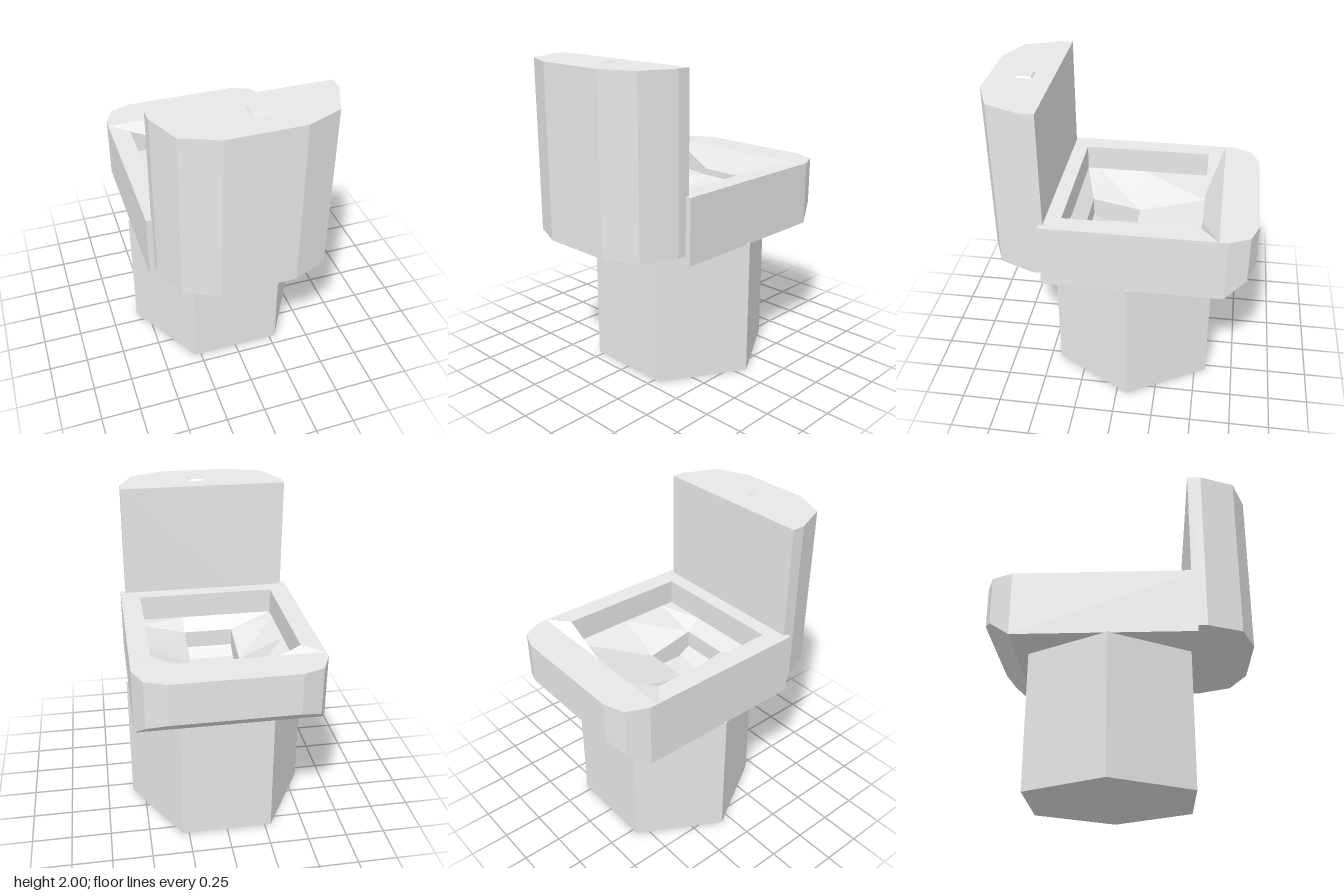
import * as THREE from 'three';

// Flat-faced geometry from polygons; each is wound to face its hint direction
function faceted(polys) {
  const out = [];
  for (const [dir, ...pts] of polys) {
    const p = pts.map((a) => new THREE.Vector3(...a));
    const normal = new THREE.Vector3();
    p.forEach((a, i) => normal.add(a.clone().cross(p[(i + 1) % p.length])));
    if (normal.dot(new THREE.Vector3(...dir)) < 0) p.reverse();
    for (let i = 1; i < p.length - 1; i++) {
      for (const v of [p[0], p[i], p[i + 1]]) out.push(v.x, v.y, v.z);
    }
  }
  const g = new THREE.BufferGeometry();
  g.setAttribute('position', new THREE.Float32BufferAttribute(out, 3));
  g.computeVertexNormals();
  return g;
}

function prism(rTop, rBottom, h, sides, turn) {
  const g = new THREE.CylinderGeometry(rTop, rBottom, h, sides).rotateY(turn).toNonIndexed();
  g.computeVertexNormals();
  return g;
}

const TOP = 1.275, BASE = 0.865;
const UP = [0, 1, 0], DOWN = [0, -1, 0], FRONT = [0, 0, 1], BACK = [0, 0, -1];

// Outer shell: chamfered outline with the underside of the nose cut by a slope
function shellFaces() {
  const half = [[0.57, 0.46], [0.57, -0.65], [0.51, -0.78], [0.38, -0.83]];
  const loop = [...half, ...half.map(([x, z]) => [-x, z]).reverse()];
  const low = ([x, z]) => [x, BASE + Math.max(0, -0.65 - z) * 0.806, z];
  const high = ([x, z]) => [x, TOP, z];
  const polys = loop.map((a, i) => {
    const b = loop[(i + 1) % loop.length];
    return [[a[0] + b[0], 0, a[1] + b[1] + 0.37], low(a), low(b), high(b), high(a)];
  });
  polys.push([DOWN, ...[loop[0], loop[1], loop[6], loop[7]].map(low)]);
  polys.push([DOWN, ...loop.slice(1, 7).map(low)]);
  // Rim
  polys.push([UP, [0.57, TOP, -0.6], ...loop.slice(1, 7).map(high), [-0.57, TOP, -0.6]]);
  polys.push([UP, [0.57, TOP, 0.46], [0.445, TOP, 0.34], [-0.445, TOP, 0.34], [-0.57, TOP, 0.46]]);
  for (const s of [1, -1]) {
    polys.push([UP, [s * 0.57, TOP, 0.46], [s * 0.57, TOP, -0.6],
      [s * 0.445, TOP, -0.49], [s * 0.445, TOP, 0.34]]);
  }
  return polys;
}

// Basin: spout lip, inner walls, sloping floor and the well
function basinFaces() {
  const E = 1.11, LIP = 1.135, F = 1.09, N = 0.975, R = 1.035, W = 0.87, S = 0.92;
  const polys = [
    [UP, [0.2, TOP, -0.6], [-0.2, TOP, -0.6], [-0.16, LIP, -0.49], [0.16, LIP, -0.49]],
    [FRONT, [0.16, LIP, -0.49], [-0.16, LIP, -0.49], [-0.16, F, -0.49], [0.16, F, -0.49]],
    [BACK, [0.445, TOP, 0.34], [-0.445, TOP, 0.34], [-0.445, E, 0.34], [0.445, E, 0.34]],
    [UP, [0.16, F, -0.49], [-0.16, F, -0.49], [-0.16, N, -0.06], [0.16, N, -0.06]],
    [UP, [0.16, R, 0.255], [-0.16, R, 0.255], [-0.16, E, 0.34], [0.16, E, 0.34]],
    [FRONT, [0.16, N, -0.06], [-0.16, N, -0.06], [-0.16, W, -0.06], [0.16, W, -0.06]],
    [BACK, [0.16, R, 0.255], [-0.16, R, 0.255], [-0.16, S, 0.255], [0.16, S, 0.255]],
    [UP, [0.16, W, -0.06], [-0.16, W, -0.06], [-0.16, W, 0.175], [0.16, W, 0.175]],
    [UP, [0.16, W, 0.175], [-0.16, W, 0.175], [-0.16, S, 0.255], [0.16, S, 0.255]],
  ];
  for (const s of [1, -1]) {
    const a = s * 0.445, b = s * 0.16, inward = [-s, 0, 0];
    polys.push(
      [UP, [s * 0.57, TOP, -0.6], [s * 0.2, TOP, -0.6], [b, LIP, -0.49]],
      [UP, [s * 0.57, TOP, -0.6], [b, LIP, -0.49], [a, TOP, -0.49]],
      [FRONT, [a, TOP, -0.49], [b, LIP, -0.49], [b, F, -0.49], [a, E, -0.49]],
      [inward, [a, TOP, -0.49], [a, TOP, 0.34], [a, E, 0.34], [a, E, -0.49]],
      [UP, [a, E, -0.49], [b, F, -0.49], [b, N, -0.06], [a, E, -0.06]],
      [UP, [a, E, -0.06], [b, N, -0.06], [b, R, 0.255], [a, E, 0.255]],
      [UP, [a, E, 0.255], [b, R, 0.255], [b, E, 0.34], [a, E, 0.34]],
      [inward, [b, N, -0.06], [b, R, 0.255], [b, S, 0.255], [b, W, 0.175], [b, W, -0.06]],
    );
  }
  return polys;
}

export function createModel() {
  const group = new THREE.Group();
  const porcelain = new THREE.MeshStandardMaterial({ color: 0xe7e7e7 });
  porcelain.name = 'porcelain';
  const add = (name, geometry, x = 0, y = 0, z = 0) => {
    const mesh = new THREE.Mesh(geometry, porcelain);
    mesh.name = name;
    mesh.position.set(x, y, z);
    group.add(mesh);
  };

  // Hexagonal pedestal
  add('pedestal', prism(0.58, 0.58, 0.87, 6, Math.PI / 2), 0, 0.435, -0.07);

  add('bowl', faceted(shellFaces()));
  add('basin', faceted(basinFaces()));

  // Water tank, a faceted half-round prism
  const half = [[0.535, 0.435], [0.535, 0.52], [0.445, 0.735], [0.23, 0.825]];
  const outline = [...half, ...half.map(([x, z]) => [-x, z]).reverse()];
  const shape = new THREE.Shape(outline.map(([x, z]) => new THREE.Vector2(x, z)));
  const tank = new THREE.ExtrudeGeometry(shape, { depth: 1.07, bevelEnabled: false });
  add('tank', tank.rotateX(Math.PI / 2), 0, 1.99, 0);

  // Tapered square flush button
  add('flushButton', prism(0.06, 0.08, 0.02, 4, Math.PI / 4), 0.027, 1.99, 0.608);

  return group;
}
